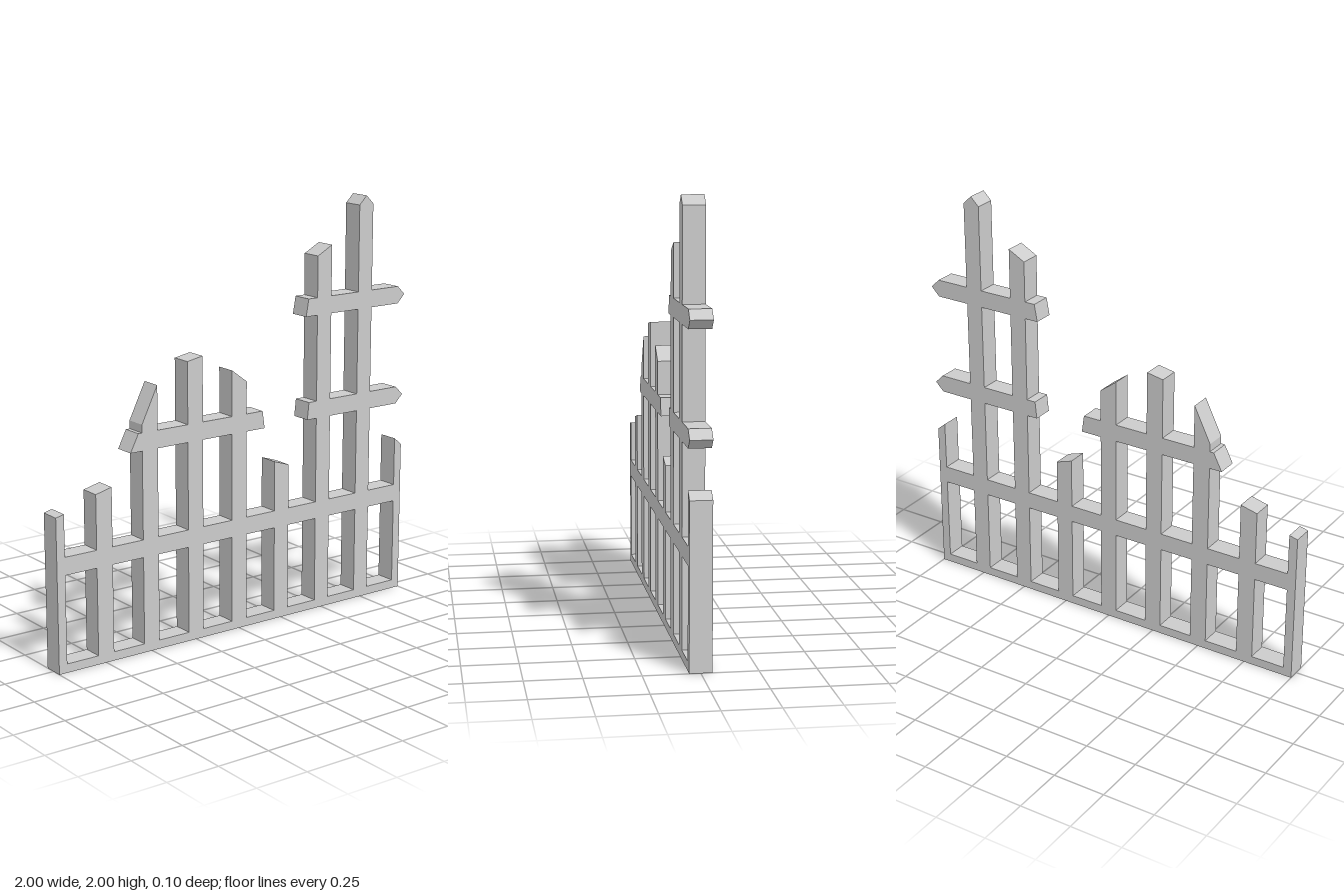
import * as THREE from 'three';

const DEPTH = 0.1;   // thickness of every plank
const H = 0.042;     // half width of a plank

export function createModel() {
  const fence = new THREE.Group();
  fence.name = 'brokenFence';
  const material = new THREE.MeshStandardMaterial({ color: 0xcccccc, flatShading: true });

  // A flat plank cut from a counter-clockwise outline in the xy plane
  function plank(name, points, parent) {
    const shape = new THREE.Shape(points.map(([x, y]) => new THREE.Vector2(x, y)));
    const geometry = new THREE.ExtrudeGeometry(shape, { depth: DEPTH, bevelEnabled: false });
    geometry.translate(0, 0, -DEPTH / 2);
    const mesh = new THREE.Mesh(geometry, material);
    mesh.name = name;
    parent.add(mesh);
  }

  // Pickets from left to right in x: heights of the top cut, left, (peak), right
  const tops = [
    [0.73, 0.74], [0.8, 0.82], [1.08, 1.25], [1.335, 1.35], [1.26, 1.197],
    [0.785, 0.757], [1.74, 1.785], [1.958, 2, 1.958], [0.78, 0.745],
  ];
  const pickets = tops.map((cut, i) => {
    const x = -1 + i * 0.25;
    return { cut, x0: Math.max(-1, x - H), x1: Math.min(1, x + H) };
  });
  const picketGroup = new THREE.Group();
  picketGroup.name = 'pickets';
  fence.add(picketGroup);
  pickets.forEach(({ cut, x0, x1 }, i) => {
    const top = cut.map((y, k) => [x0 + (x1 - x0) * k / (cut.length - 1), y]).reverse();
    plank(`picket${i + 1}`, [[x0, 0], [x1, 0], ...top], picketGroup);
  });

  // Rails run flush between pickets; the optional ends are [x, y] outlines of the broken tips
  function rail(name, y0, y1, first, last, leftTip, rightTip) {
    const group = new THREE.Group();
    group.name = name;
    fence.add(group);
    for (let i = first; i < last; i++) {
      const a = pickets[i].x1, b = pickets[i + 1].x0;
      plank('railSection', [[a, y0], [b, y0], [b, y1], [a, y1]], group);
    }
    if (leftTip) {
      const x = pickets[first].x0;
      plank('leftTip', [[x, y0], [x, y1], ...leftTip], group);
    }
    if (rightTip) {
      const x = pickets[last].x1;
      plank('rightTip', [[x, y1], [x, y0], ...rightTip], group);
    }
  }
  const point = y => [[1 - H, y - H], [1, y], [1 - H, y + H]];

  rail('bottomRail', 0, H, 0, 8);
  rail('middleRail', 0.5 - H, 0.5 + H, 0, 8);
  rail('brokenRail', 1 - H, 1 + H, 2, 4,
    [[-0.562, 1 + H], [-0.605, 1 - H]], [[0.147, 1 - H], [0.135, 1 + H]]);
  rail('upperRail', 1 - H, 1 + H, 6, 7, [[0.412, 1 + H], [0.403, 1 - H]], point(1));
  rail('topRail', 1.5 - H, 1.5 + H, 6, 7, [[0.405, 1.5 + H], [0.39, 1.5 - H]], point(1.5));

  return fence;
}
